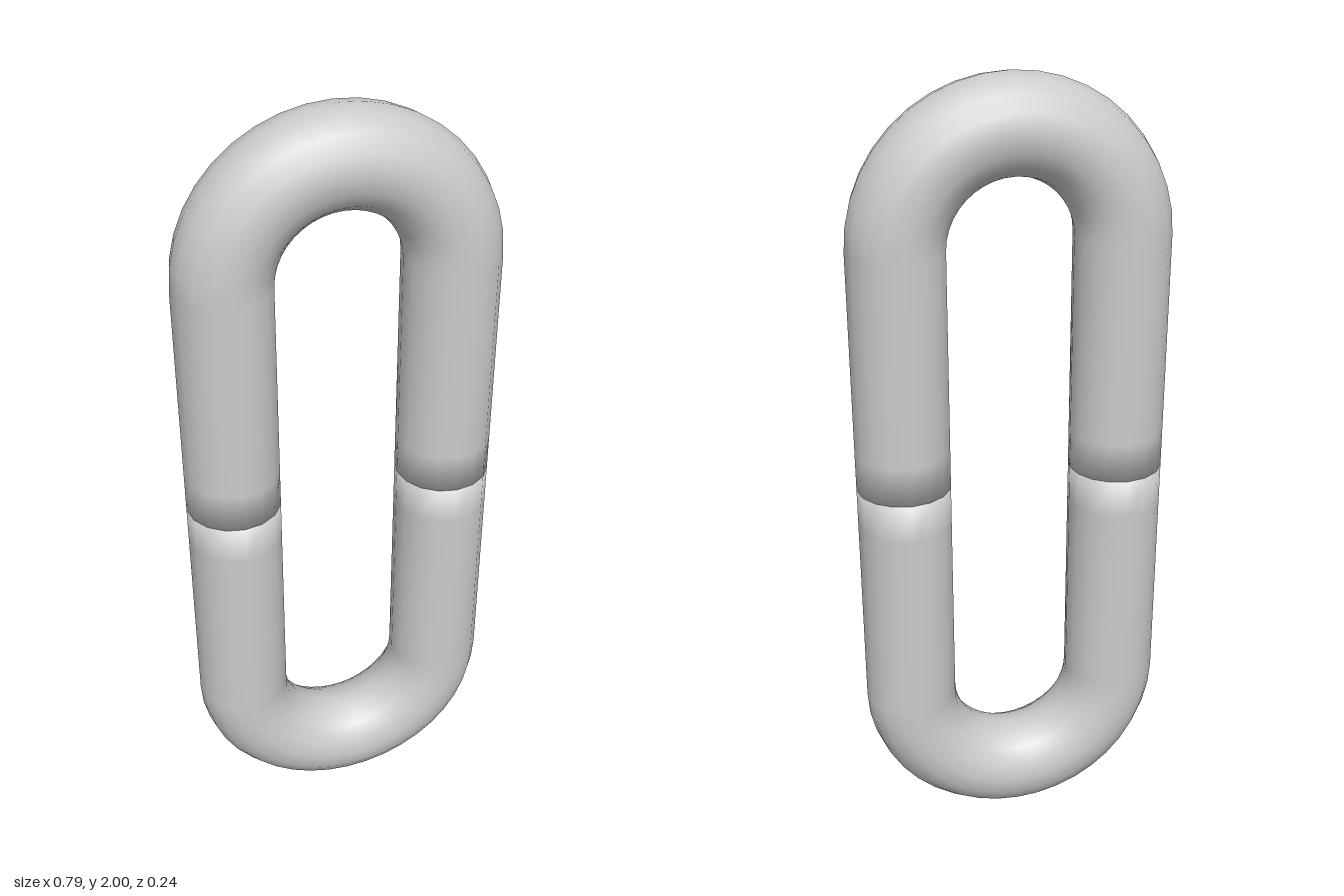
import * as THREE from 'three';

const SIDES = 16;        // around the bar
const BEND_STEPS = 20;   // around the half-circle
const BAR = 0.119;       // bar radius
const BEND = 0.274;      // centreline radius of the bend
const LEG = 0.607;       // length of each straight leg

// Stations along the U: [centre x, centre y, angle of the outward direction]
function halfPath() {
  const path = [[BEND, 0, 0], [BEND, 0.1, 0]];
  for (let i = 0; i <= BEND_STEPS; i++) {
    const a = (Math.PI * i) / BEND_STEPS;
    path.push([BEND * Math.cos(a), LEG + BEND * Math.sin(a), a]);
  }
  path.push([-BEND, 0.1, Math.PI], [-BEND, 0, Math.PI]);
  return path;
}

// Round bar swept along the U; end caps share the rim so the ends shade softly
function halfLinkGeometry() {
  const path = halfPath();
  const positions = [];
  const index = [];
  for (const [x, y, a] of path) {
    for (let j = 0; j < SIDES; j++) {
      const t = (2 * Math.PI * j) / SIDES;
      const r = BAR * Math.cos(t);
      positions.push(x + r * Math.cos(a), y + r * Math.sin(a), BAR * Math.sin(t));
    }
  }
  for (let i = 0; i < path.length - 1; i++) {
    for (let j = 0; j < SIDES; j++) {
      const k = (j + 1) % SIDES;
      const a = i * SIDES + j, b = i * SIDES + k;
      const c = a + SIDES, d = b + SIDES;
      index.push(a, c, b, b, c, d);
    }
  }
  // End caps
  const last = (path.length - 1) * SIDES;
  const startCentre = path.length * SIDES;
  positions.push(BEND, 0, 0, -BEND, 0, 0);
  for (let j = 0; j < SIDES; j++) {
    const k = (j + 1) % SIDES;
    index.push(startCentre, j, k, startCentre + 1, last + k, last + j);
  }
  const geometry = new THREE.BufferGeometry();
  geometry.setAttribute('position', new THREE.Float32BufferAttribute(positions, 3));
  geometry.setIndex(index);
  geometry.computeVertexNormals();
  return geometry;
}

export function createModel() {
  const group = new THREE.Group();
  group.name = 'chainLink';
  const material = new THREE.MeshStandardMaterial({ color: 0xcccccc });
  const geometry = halfLinkGeometry();

  // Two identical U-shaped halves meeting at mid height
  ['upperHalf', 'lowerHalf'].forEach((name, i) => {
    const half = new THREE.Mesh(geometry, material);
    half.name = name;
    half.position.y = 1;
    half.rotation.z = i * Math.PI;
    group.add(half);
  });
  return group;
}
